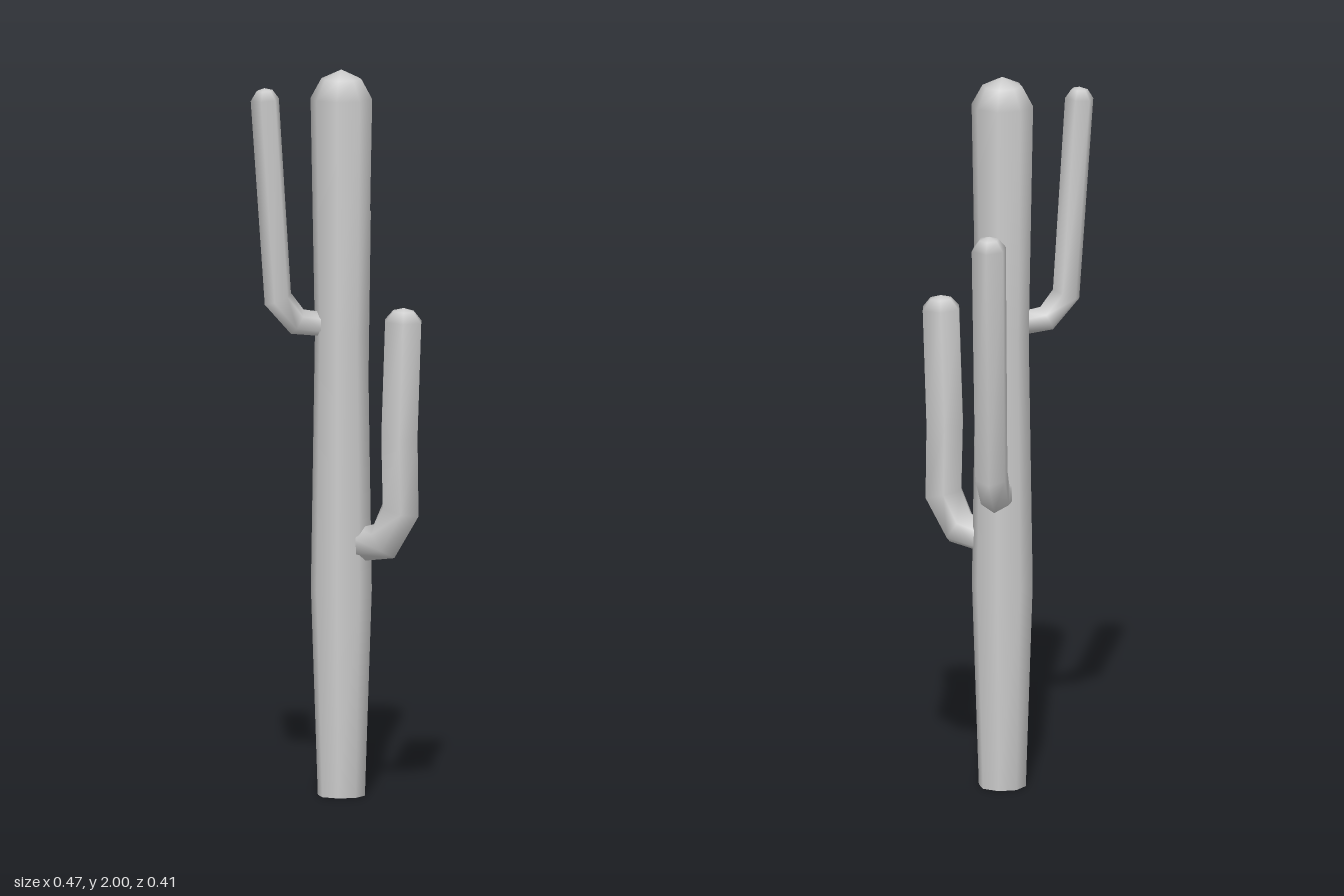
import * as THREE from 'three';

const material = new THREE.MeshStandardMaterial({ color: 0xcccccc, side: THREE.DoubleSide });

// Smooth faceted stem in the local XY plane: stations are [x, y, radius],
// mitred at the bends, open at the base and closed with a point at the tip.
function stem(name, sides, stations, tip) {
  const pts = stations.map(([x, y]) => new THREE.Vector2(x, y));
  const pos = [], index = [];
  stations.forEach(([x, y, r], i) => {
    const before = pts[i].clone().sub(pts[Math.max(i - 1, 0)]).normalize();
    const after = (pts[i + 1] ?? new THREE.Vector2(...tip)).clone().sub(pts[i]).normalize();
    const t = before.clone().add(after).normalize();
    const capRing = i >= stations.length - 2;
    if (capRing) t.copy(pts[stations.length - 2]).sub(pts[stations.length - 3]).normalize();
    const mitre = capRing ? r : r / t.dot(after);
    for (let k = 0; k < sides; k++) {
      const a = (k / sides) * Math.PI * 2;
      const u = Math.cos(a) * mitre;
      pos.push(x + t.y * u, y - t.x * u, Math.sin(a) * r);
    }
  });
  pos.push(tip[0], tip[1], 0);
  const last = stations.length - 1, apex = stations.length * sides;
  for (let i = 0; i <= last; i++) {
    for (let k = 0; k < sides; k++) {
      const a = i * sides + k, b = i * sides + (k + 1) % sides;
      if (i === last) index.push(a, apex, b);
      else index.push(a, a + sides, b, b, a + sides, b + sides);
    }
  }
  const geo = new THREE.BufferGeometry();
  geo.setAttribute('position', new THREE.Float32BufferAttribute(pos, 3));
  geo.setIndex(index);
  geo.computeVertexNormals();
  const mesh = new THREE.Mesh(geo, material);
  mesh.name = name;
  return mesh;
}

export function createModel() {
  const cactus = new THREE.Group();
  cactus.name = 'cactus';

  // Eight-sided trunk, slightly waisted, with a domed top
  const trunk = stem('trunk', 8, [
    [0, 0, 0.065], [0, 0.57, 0.084], [0, 1.27, 0.073], [0, 1.92, 0.085], [0, 1.975, 0.055],
  ], [0, 2]);

  // Six-sided arms, each leaving the trunk and bending upward
  const leftArm = stem('leftArm', 6, [
    [0.06, 0.695, 0.045], [0.135, 0.71, 0.05], [0.187, 0.8, 0.056],
    [0.183, 1.0, 0.057], [0.195, 1.32, 0.057], [0.196, 1.348, 0.032],
  ], [0.196, 1.357]);
  leftArm.rotation.y = -0.38;

  const rightArm = stem('rightArm', 6, [
    [0.05, 1.3, 0.033], [0.125, 1.31, 0.035], [0.18, 1.375, 0.038],
    [0.217, 1.925, 0.04], [0.218, 1.95, 0.023],
  ], [0.218, 1.957]);
  rightArm.rotation.y = Math.PI + 0.42;

  const backArm = stem('backArm', 6, [
    [0.06, 0.84, 0.042], [0.12, 0.847, 0.044], [0.19, 0.925, 0.047],
    [0.235, 1.575, 0.05], [0.236, 1.602, 0.028],
  ], [0.236, 1.61]);
  backArm.rotation.y = Math.PI / 2;

  // Trunk stands a little forward so the whole plant is centred
  for (const part of [trunk, leftArm, rightArm, backArm]) {
    part.position.z = 0.076;
    cactus.add(part);
  }
  return cactus;
}
